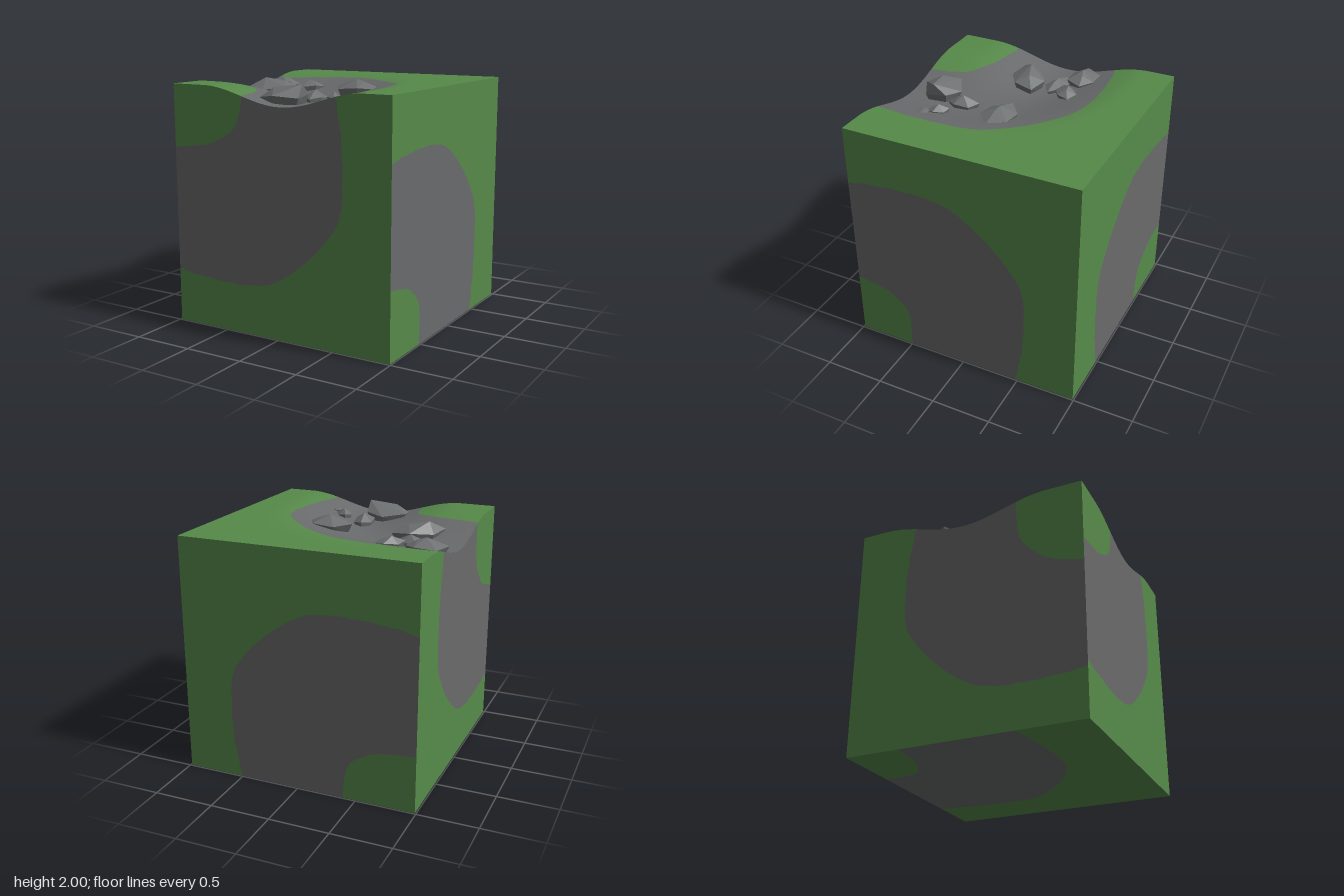
import * as THREE from 'three';
import { mergeGeometries } from 'three/addons/utils/BufferGeometryUtils.js';
import { ConvexGeometry } from 'three/addons/geometries/ConvexGeometry.js';

const E = 0.99, H = 1.98; // half width and height of the block
const N = 60, M = 14;     // steps along and across each lofted band

// Height of the ground: a rounded channel bending around the front right corner
function ground(x, z) {
  const s = Math.cbrt(Math.max(0, x + E) ** 3 + Math.max(0, E - z) ** 3);
  const t = Math.min(1, Math.abs(s - 1.03) / 0.73);
  return H - 0.138 * Math.cos(t * Math.PI / 2) ** 2;
}

// Bend of the path in face coordinates (u, d), from the u = -E edge to the d = E edge
const outerLine = [[-E, -0.46], [-0.8, -0.5], [-0.37, -0.53], [-0.05, -0.48], [0.25, -0.28],
  [0.47, -0.05], [0.56, 0.15], [0.56, 0.6], [0.5, E]];
const innerLine = [[-E, 0.46], [-0.7, 0.5], [-0.55, 0.56], [-0.42, 0.65], [-0.36, 0.78], [-0.33, E]];

// at() places (u, d) in space; outer and inner slide each line's start in d and its end in u
const faces = [
  { name: 'top', flip: false, outer: [0, 0], inner: [0, 0], at: (u, d) => [u, ground(u, d), d] },
  { name: 'front', flip: true, outer: [-0.08, 0.02], inner: [0.02, 0.02],
    at: (u, d) => [u, Math.min(E + d, ground(u, E)), E] },
  { name: 'leftSide', flip: false, outer: [-0.04, -0.02], inner: [-0.03, -0.18], at: (u, d) => [E, E - d, -u] },
  { name: 'back', flip: true, outer: [0.02, 0.01], inner: [0.05, -0.06], at: (u, d) => [u, E - d, -E] },
  { name: 'rightSide', flip: false, outer: [-0.13, -0.03], inner: [-0.18, -0.1],
    at: (u, d) => [-E, Math.min(E + d, ground(-E, -u)), -u] },
  { name: 'bottom', flip: false, outer: [0.05, 0.02], inner: [0.07, -0.07], at: (u, d) => [u, 0, -d] },
];

// Evenly spaced samples of a smooth line after sliding its ends, slightly ragged between them
function sample(line, [startD, endU]) {
  const pts = line.map(([u, d], i) => {
    const t = i / (line.length - 1);
    return new THREE.Vector2(u + endU * t, d + startD * (1 - t));
  });
  const samples = new THREE.SplineCurve(pts).getSpacedPoints(N);
  samples.slice(1, -1).forEach((p, i) => p.addScalar(0.006 * Math.sin(i * 1.9) * Math.sin(i * 0.7)));
  return samples;
}

// The corner inside the bend, and the two far edges of a face
const corner = Array.from({ length: N + 1 }, () => new THREE.Vector2(-E, E));
const rim = Array.from({ length: N + 1 }, (_, i) => {
  const t = 4 * E * i / N;
  return new THREE.Vector2(Math.min(E, t - E), Math.max(-E, t - 3 * E));
});

// Surface between two sampled lines
function band(a, b, face) {
  const pos = [], index = [];
  for (let i = 0; i <= N; i++) {
    for (let j = 0; j <= M; j++) {
      const p = a[i].clone().lerp(b[i], j / M);
      pos.push(...face.at(p.x, p.y));
      if (i === N || j === M) continue;
      const k = i * (M + 1) + j, r = k + M + 1;
      if (face.flip) index.push(k, k + 1, r, r, k + 1, r + 1);
      else index.push(k, r, k + 1, r, r + 1, k + 1);
    }
  }
  const g = new THREE.BufferGeometry();
  g.setAttribute('position', new THREE.Float32BufferAttribute(pos, 3));
  g.setIndex(index);
  g.computeVertexNormals();
  return g;
}

// Rocks: centre x and z, half length, half width, turn, peak
const rocks = [
  { x: -0.78, z: -0.26, a: 0.18, b: 0.13, turn: -0.15, peak: [-0.78, 1.97, -0.25] },
  { x: -0.47, z: -0.225, a: 0.12, b: 0.09, turn: -0.5, peak: [-0.49, 1.95, -0.24] },
  { x: -0.61, z: -0.09, a: 0.15, b: 0.09, turn: 0.15, peak: [-0.6, 1.94, -0.1] },
  { x: -0.57, z: 0.17, a: 0.21, b: 0.15, turn: -0.55, peak: [-0.66, 1.99, 0.18] },
  { x: 0.17, z: 0.07, a: 0.19, b: 0.15, turn: 0.1, peak: [0.17, 2, 0.06] },
  { x: 0.03, z: 0.47, a: 0.13, b: 0.09, turn: 1.4, peak: [0.03, 1.94, 0.47] },
  { x: -0.1, z: 0.73, a: 0.2, b: 0.17, turn: 2.54, peak: [0.07, 2, 0.73] },
  { x: 0.26, z: 0.57, a: 0.085, b: 0.065, turn: 1.1, peak: [0.26, 1.94, 0.57] },
  { x: 0.355, z: 0.66, a: 0.06, b: 0.05, turn: 0, peak: [0.36, 1.92, 0.66] },
];

// Faceted hull: a six-cornered belt above the ground, a sunken foot, a peak and a lower shoulder
function rockGeometry({ x, z, a, b, turn, peak }) {
  const y0 = ground(x, z), rise = peak[1] - y0;
  const cos = Math.cos(turn), sin = Math.sin(turn);
  const place = (l, w, y) => new THREE.Vector3(x + l * cos - w * sin, y, z + l * sin + w * cos);
  const pts = [new THREE.Vector3(...peak), place(0.38 * a, 0, y0 + rise * 0.8)];
  for (let i = 0; i < 6; i++) {
    const angle = i * Math.PI / 3, k = 1 + 0.08 * Math.sin(i * 2.3 + x * 9);
    const l = a * k * Math.cos(angle), w = b * k * Math.sin(angle);
    pts.push(place(l, w, y0 + rise * (i % 2 ? 0.42 : 0.28)), place(0.8 * l, 0.8 * w, y0 - 0.04));
  }
  return new ConvexGeometry(pts);
}

export function createModel() {
  const material = (name, color) => Object.assign(new THREE.MeshStandardMaterial({ color }), { name });
  const grass = material('grass green', 0x578a4a);
  const path = material('path grey', 0x6a6b6c);
  const stone = material('stone grey', 0x6e7172);

  const model = new THREE.Group();
  model.name = 'pathBlock';
  const add = (geometry, mat, name) => {
    const mesh = new THREE.Mesh(geometry, mat);
    mesh.name = name;
    model.add(mesh);
  };

  // Six faces, each with grass on both sides of the bend
  for (const face of faces) {
    const inner = sample(innerLine, face.inner), outer = sample(outerLine, face.outer);
    add(mergeGeometries([band(corner, inner, face), band(outer, rim, face)]), grass, face.name + 'Grass');
    add(band(inner, outer, face), path, face.name + 'Path');
  }

  rocks.forEach((rock, i) => add(rockGeometry(rock), stone, 'rock' + (i + 1)));
  return model;
}
